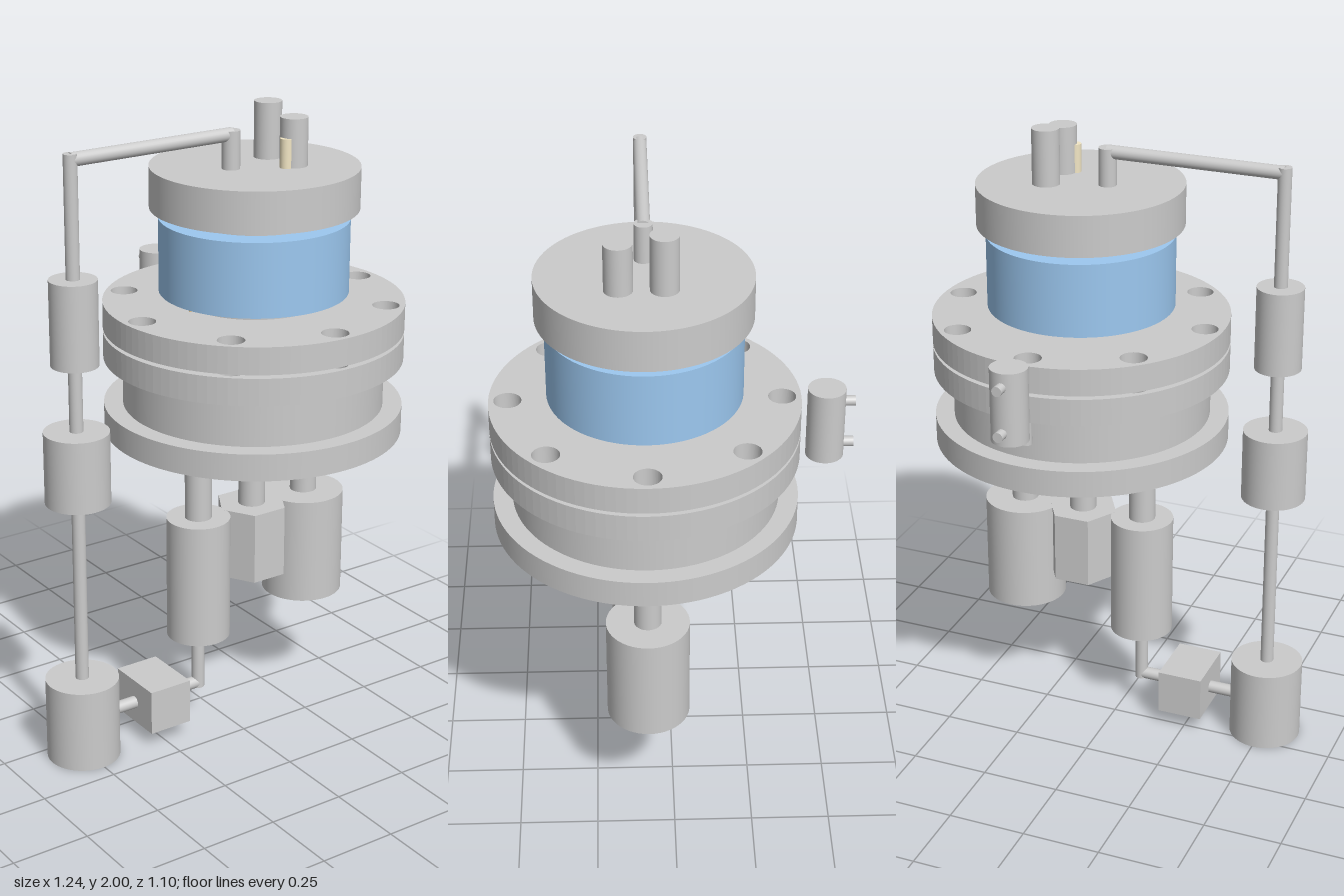
import * as THREE from 'three';

const grey = new THREE.MeshStandardMaterial({ color: 0xcccccc });
const blue = new THREE.MeshStandardMaterial({ color: 0x9cc8f0 });
const cream = new THREE.MeshStandardMaterial({ color: 0xf2e6c4 });
const orange = new THREE.MeshStandardMaterial({ color: 0xe0a030 });

const AX = 0.145, AZ = 0.08;   // main vessel axis
const LX = -0.505;             // axis of the return line

export function createModel() {
  const model = new THREE.Group();

  const add = (name, geometry, x, y, z, material = grey) => {
    const mesh = new THREE.Mesh(geometry, material);
    mesh.name = name;
    mesh.position.set(x, y, z);
    model.add(mesh);
    return mesh;
  };
  // upright cylinder between two heights
  const post = (name, x, z, r, y0, y1, material = grey, sides = 48) =>
    add(name, new THREE.CylinderGeometry(r, r, y1 - y0, sides), x, (y0 + y1) / 2, z, material);
  // disc centred on the vessel axis
  const disc = (name, r, y0, y1, material) => post(name, AX, AZ, r, y0, y1, material, 96);
  // round bar along x
  const barX = (name, x0, x1, y, r) => {
    const bar = add(name, new THREE.CylinderGeometry(r, r, x1 - x0, 24), (x0 + x1) / 2, y, AZ);
    bar.rotation.z = Math.PI / 2;
  };

  // flange plate with eight bolt holes
  const ring = new THREE.Shape().absarc(0, 0, 0.47, 0, Math.PI * 2);
  for (let i = 0; i < 8; i++) {
    const a = i * Math.PI / 4;
    ring.holes.push(new THREE.Path().absarc(0.412 * Math.cos(a), 0.412 * Math.sin(a), 0.042, 0, Math.PI * 2, true));
  }
  const drilled = new THREE.ExtrudeGeometry(ring, { depth: 0.086, bevelEnabled: false, curveSegments: 48 });
  drilled.rotateX(-Math.PI / 2);

  // vessel stack, from the bottom up
  disc('bottomFlange', 0.47, 0.98, 1.066);
  disc('vesselBody', 0.41, 1.066, 1.218);
  add('middleFlange', drilled, AX, 1.218, AZ);
  disc('gasket', 0.26, 1.30, 1.318);
  add('upperFlange', drilled, AX, 1.315, AZ);
  disc('lowerNeck', 0.22, 1.40, 1.432);
  disc('blueDrum', 0.295, 1.43, 1.663, blue);
  disc('upperNeck', 0.22, 1.66, 1.697);
  disc('topCap', 0.323, 1.695, 1.825);

  // small wires bridging the lower neck
  for (const s of [-1, 1]) {
    const path = new THREE.CatmullRomCurve3([
      new THREE.Vector3(s * 0.237, 1.40, 0),
      new THREE.Vector3(s * 0.235, 1.418, 0),
      new THREE.Vector3(s * 0.222, 1.432, 0),
    ]);
    add('wire', new THREE.TubeGeometry(path, 8, 0.005, 8), AX, 0, AZ, orange);
  }

  // fittings on the cap
  post('rearPort', 0.235, 0.022, 0.043, 1.825, 2.0);
  post('frontPort', 0.235, 0.155, 0.043, 1.825, 1.975);
  post('sensorRod', 0.2, 0.165, 0.02, 1.825, 1.915, cream, 24);
  post('inletPort', 0.056, AZ, 0.028, 1.825, 1.943);

  // return line with its inline vessels
  barX('topPipe', LX, 0.056, 1.93, 0.021);
  post('returnPipe', LX, AZ, 0.021, 0.2, 1.948);
  post('upperFilter', LX, AZ, 0.073, 1.31, 1.575);
  post('middleFilter', LX, AZ, 0.101, 0.87, 1.10);
  post('reservoir', LX, AZ, 0.116, 0, 0.27);
  barX('bottomPipe', -0.42, -0.065, 0.12, 0.02);
  add('valveBlock', new THREE.BoxGeometry(0.147, 0.147, 0.2), -0.238, 0.123, AZ);
  post('drainPipe', -0.065, AZ, 0.021, 0.105, 0.32);

  // three units hanging under the vessel
  for (const x of [-0.063, AX, 0.353]) post('hangerPipe', x, AZ, 0.043, 0.70, 0.99);
  post('leftUnit', -0.063, AZ, 0.102, 0.30, 0.71);
  post('rightUnit', 0.353, AZ, 0.131, 0.36, 0.71);
  const hex = new THREE.CylinderGeometry(0.117, 0.117, 0.235, 6).toNonIndexed();
  hex.computeVertexNormals();
  add('hexUnit', hex, AX, 0.593, AZ).rotation.y = Math.PI / 6;

  // canister and pin behind the flanges
  post('rearCanister', AX, -0.467, 0.058, 1.193, 1.427);
  for (const y of [1.235, 1.382]) {
    const stub = add('canisterNozzle', new THREE.CylinderGeometry(0.016, 0.016, 0.06, 24), AX, y, -0.524);
    stub.rotation.x = Math.PI / 2;
  }
  post('rearPin', AX, -0.361, 0.021, 1.133, 1.25, grey, 24);

  return model;
}
